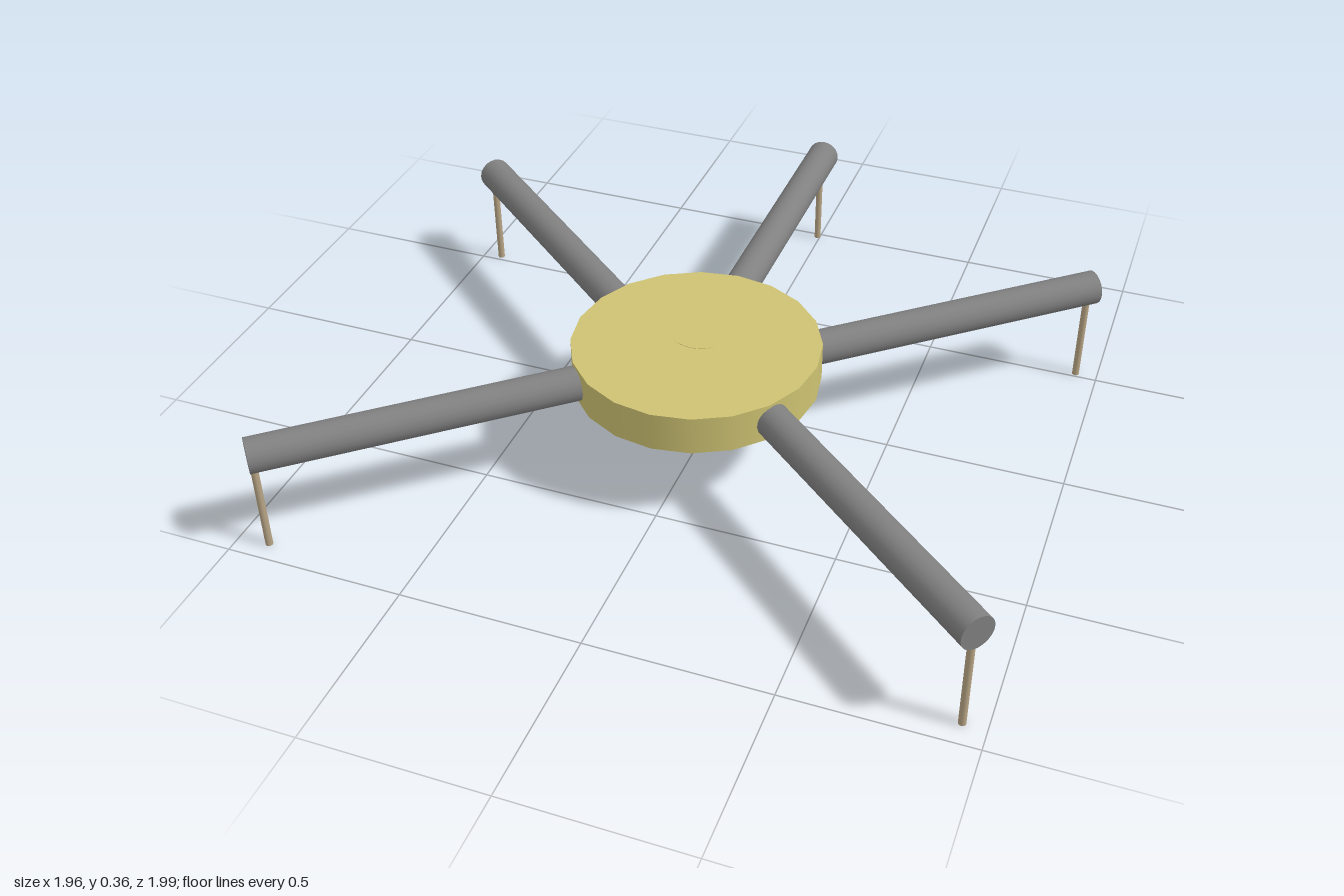
import * as THREE from 'three';

export function createModel() {
  const model = new THREE.Group();
  const hubPaint = new THREE.MeshStandardMaterial({ color: 0xcdc272 });
  hubPaint.name = 'hub yellow';
  const armPaint = new THREE.MeshStandardMaterial({ color: 0x808080 });
  armPaint.name = 'arm grey';
  const legPaint = new THREE.MeshStandardMaterial({ color: 0xb8a585 });
  legPaint.name = 'leg tan';

  const armY = 0.302;
  const hubZ = 0.182;

  // Cylinder running between two points
  function rod(name, from, to, radius, sides, material) {
    const along = to.clone().sub(from);
    const mesh = new THREE.Mesh(
      new THREE.CylinderGeometry(radius, radius, along.length(), sides), material);
    mesh.name = name;
    mesh.position.copy(from).add(to).multiplyScalar(0.5);
    mesh.quaternion.setFromUnitVectors(new THREE.Vector3(0, 1, 0), along.normalize());
    model.add(mesh);
  }

  // Round hub
  const hub = new THREE.Mesh(new THREE.CylinderGeometry(0.34, 0.34, 0.11, 20), hubPaint);
  hub.name = 'hub';
  hub.position.set(0, 0.303, hubZ);
  model.add(hub);

  // Small oval cap, almost flush with the hub top
  const cap = new THREE.Mesh(new THREE.CylinderGeometry(1, 1, 0.004, 32), hubPaint);
  cap.name = 'ovalCap';
  cap.scale.set(0.057, 1, 0.031);
  cap.position.set(-0.005, 0.357, 0.183);
  model.add(cap);

  // Arms reach from inside the hub to their tips; each has a thin leg near the tip
  const arms = [
    { name: 'back', inner: [-0.003, 0], tip: [-0.003, -1], leg: [-0.008, -0.985] },
    { name: 'backRight', inner: [-0.2, 0.092], tip: [-0.95, -0.535], leg: [-0.944, -0.52] },
    { name: 'backLeft', inner: [0.2, 0.1], tip: [0.95, -0.53], leg: [0.938, -0.515] },
    { name: 'frontRight', inner: [-0.17, 0.317], tip: [-0.92, 0.955], leg: [-0.912, 0.945] },
    { name: 'frontLeft', inner: [0.2, 0.302], tip: [0.95, 0.94], leg: [0.938, 0.935] },
  ];
  for (const { name, inner, tip, leg } of arms) {
    rod(name + 'Arm', new THREE.Vector3(inner[0], armY, inner[1]),
      new THREE.Vector3(tip[0], armY, tip[1]), 0.048, 20, armPaint);
    rod(name + 'Leg', new THREE.Vector3(leg[0], 0, leg[1]),
      new THREE.Vector3(leg[0], 0.29, leg[1]), 0.01, 12, legPaint);
  }
  return model;
}
